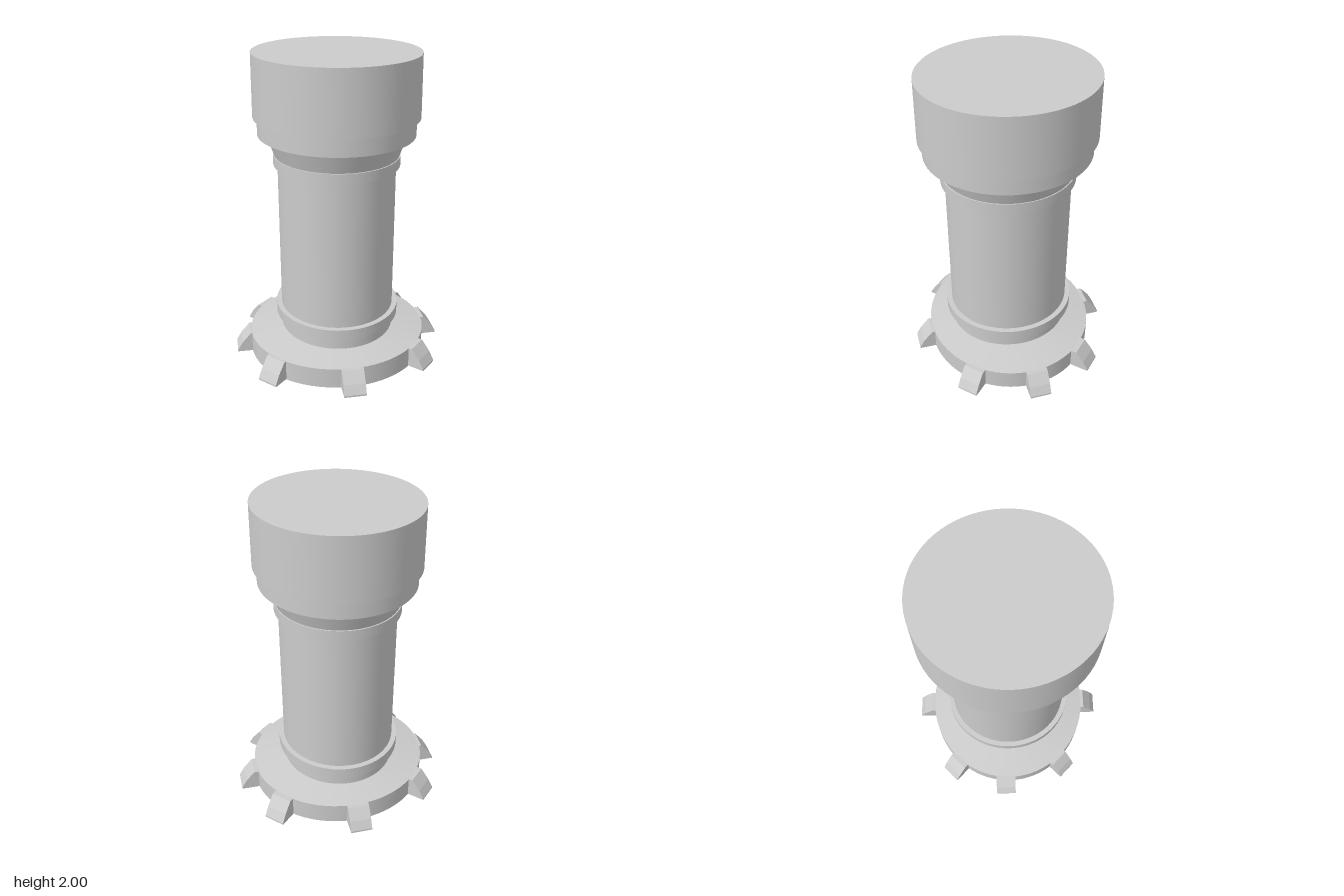
import * as THREE from 'three';

const CX = -0.008; // the stacked parts share a slightly offset axis

export function createModel() {
  const model = new THREE.Group();
  model.name = 'column';
  const material = new THREE.MeshStandardMaterial({ color: 0xcccccc });

  const add = (name, geometry, x = 0, y = 0, z = 0) => {
    const mesh = new THREE.Mesh(geometry, material);
    mesh.name = name;
    mesh.position.set(x, y, z);
    model.add(mesh);
    return mesh;
  };

  // Closed elliptical drum: x radii at bottom and top, depth ratio, height range
  const drum = (name, bottom, top, ratio, y0, y1) => {
    const g = new THREE.CylinderGeometry(top, bottom, y1 - y0, 72);
    g.scale(1, 1, ratio);
    return add(name, g, CX, (y0 + y1) / 2, 0);
  };

  // Base: straight rim and a shallow sloping top
  drum('baseRim', 0.588, 0.588, 0.944, 0, 0.135);
  drum('baseSlope', 0.588, 0.31, 0.944, 0.135, 0.18);

  // Shaft with its two bands
  drum('shaft', 0.372, 0.372, 1.066, 0.18, 1.42);
  drum('lowerBand', 0.405, 0.405, 1.064, 0.265, 0.335);
  drum('upperBand', 0.398, 0.398, 1.066, 1.305, 1.37);

  // Flared neck, collar and cap
  drum('neck', 0.392, 0.437, 1.06, 1.37, 1.5);
  drum('collar', 0.49, 0.49, 1.061, 1.5, 1.61);
  drum('cap', 0.515, 0.511, 1.06, 1.61, 2);

  // Sloped teeth around the base; the profile runs inward from the outer tip
  const profile = new THREE.Shape([
    [0, 0.003], [0, 0.014], [-0.033, 0.07], [-0.09, 0.136], [-0.16, 0.136], [-0.16, 0.003],
  ].map(([x, y]) => new THREE.Vector2(x, y)));
  const width = 0.14;
  const toothGeometry = new THREE.ExtrudeGeometry(profile, { depth: width, bevelEnabled: false });
  toothGeometry.translate(0, 0, -width / 2);

  // Tip position and heading in degrees (0 = +x, 90 = -z)
  const teeth = [
    [0.691, -0.027, 0], [0.524, -0.443, 45], [-0.009, -0.666, 90], [-0.537, -0.441, 135],
    [-0.694, -0.027, 180], [-0.53, 0.432, 225], [-0.008, 0.662, 270], [0.524, 0.432, 315],
  ];
  for (const [x, z, heading] of teeth) {
    add('tooth', toothGeometry, x, 0, z).rotation.y = THREE.MathUtils.degToRad(heading);
  }
  return model;
}
